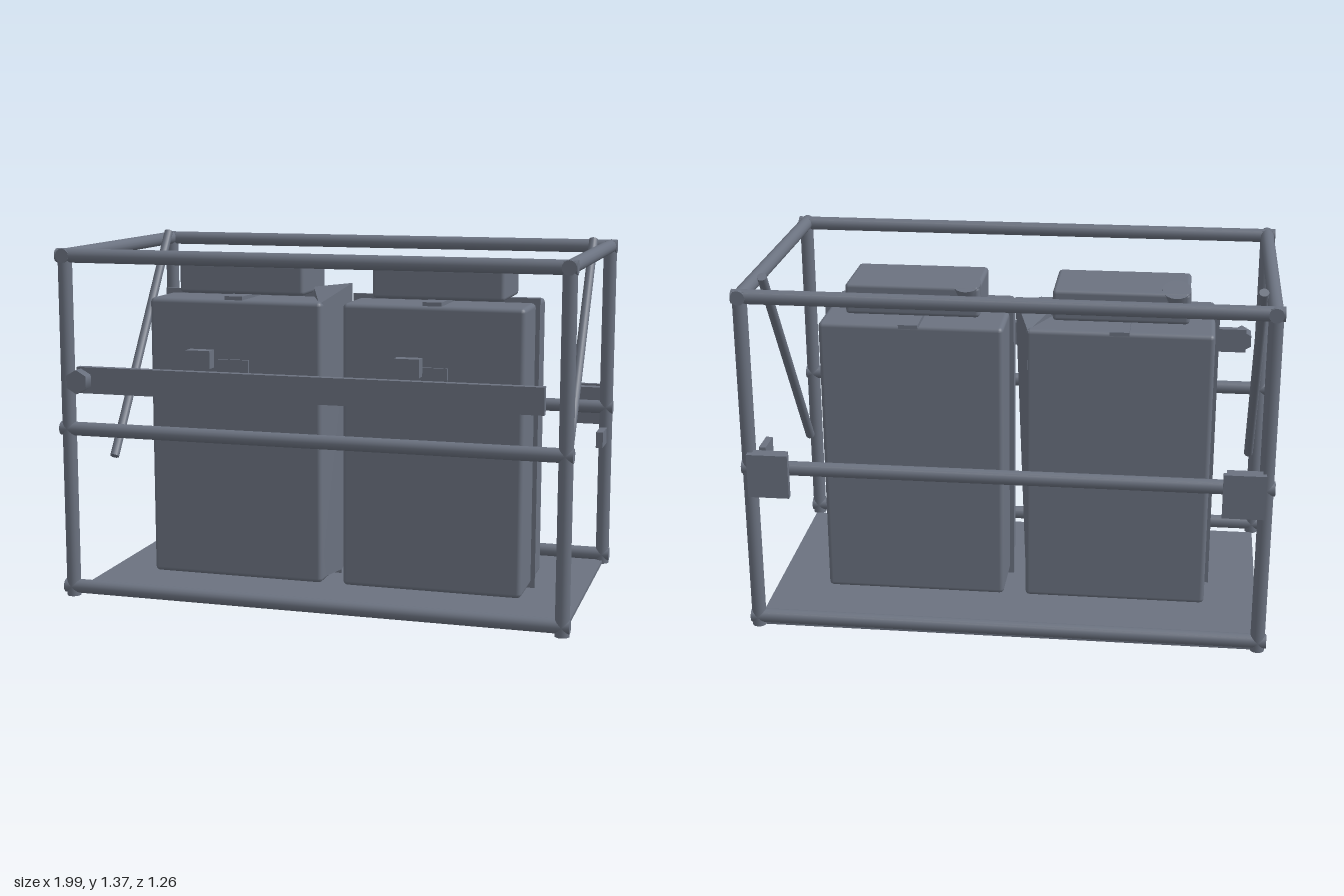
import * as THREE from 'three';
import { RoundedBoxGeometry } from 'three/addons/geometries/RoundedBoxGeometry.js';
import { ConvexGeometry } from 'three/addons/geometries/ConvexGeometry.js';

export function createModel() {
  const model = new THREE.Group();
  const steel = new THREE.MeshStandardMaterial({ color: 0x6b7280 });
  steel.name = 'slate steel';

  const add = (name, geometry, parent = model) => {
    const mesh = new THREE.Mesh(geometry, steel);
    mesh.name = name;
    parent.add(mesh);
    return mesh;
  };
  // box given by its extents, optionally with rounded edges
  const box = (name, [x0, x1], [y0, y1], [z0, z1], round = 0, parent = model) => {
    const size = [x1 - x0, y1 - y0, z1 - z0];
    const geometry = round ? new RoundedBoxGeometry(...size, 2, round) : new THREE.BoxGeometry(...size);
    const mesh = add(name, geometry, parent);
    mesh.position.set((x0 + x1) / 2, (y0 + y1) / 2, (z0 + z1) / 2);
    return mesh;
  };
  // round bar between two points
  const bar = (name, a, b, radius, sides = 16, parent = model) => {
    const from = new THREE.Vector3(...a), to = new THREE.Vector3(...b);
    const mesh = add(name, new THREE.CylinderGeometry(radius, radius, from.distanceTo(to), sides), parent);
    mesh.position.copy(from).add(to).multiplyScalar(0.5);
    mesh.quaternion.setFromUnitVectors(new THREE.Vector3(0, 1, 0), to.sub(from).normalize());
    return mesh;
  };

  // tubular frame
  const frame = new THREE.Group();
  frame.name = 'frame';
  model.add(frame);
  const R = 0.027, xs = [-0.963, 0.957], zs = [0.528, -0.538];
  for (const z of zs) {
    for (const y of [0.042, 0.668, 1.333]) bar('longRail', [-0.995, y, z], [0.985, y, z], R, 16, frame);
    for (const x of xs) bar('upright', [x, 0.005, z], [x, 1.355, z], R, 16, frame);
  }
  for (const x of xs) bar('topSideRail', [x, 1.333, 0.555], [x, 1.333, -0.565], R, 16, frame);

  // floor plate
  box('floorPlate', [-0.965, 0.96], [0.005, 0.019], [-0.54, 0.477]);

  // diagonal side braces
  for (const x of [-0.922, 0.907]) bar('diagonalBrace', [x, 0.5, 0.212], [x, 1.368, -0.4], 0.018);

  // two tanks with seam, strap, cap housing and filler
  [-0.405, 0.39].forEach((x, i) => {
    const tank = new THREE.Group();
    tank.name = i ? 'rightTank' : 'leftTank';
    model.add(tank);
    box('tankBody', [x - 0.355, x + 0.355], [0.032, 1.147], [-0.243, 0.2], 0.018, tank);
    box('seamFlange', [x - 0.372, x + 0.372], [0.02, 1.165], [-0.026, -0.015], 0, tank);
    box('topStrap', [x - 0.037, x + 0.037], [1.147, 1.162], [-0.285, 0.208], 0, tank);
    box('capHousing', [x - 0.257, x + 0.26], [1.162, 1.283], [-0.172, 0.125], 0.015, tank);
    const filler = add('fillerCap', new THREE.CylinderGeometry(0.055, 0.055, 0.07, 20), tank);
    filler.position.set(x - 0.205, 1.258, -0.125);
    filler.rotation.x = -0.4;
    box('frontPlate', [x - 0.065, x + 0.065], [0.838, 0.915], [0.215, 0.226], 0, tank);
    box('barBlock', [x - 0.047, x + 0.047], [0.932, 0.999], [0.548, 0.595], 0, tank);
  });

  // pulled-out seam on the inner side of one tank
  add('pulledSeam', new ConvexGeometry([
    [0.012, 1.205, -0.02], [-0.15, 1.185, -0.03], [-0.06, 1.14, -0.243], [-0.06, 1.14, 0.192],
    [-0.032, 0.035, -0.02], [-0.055, 0.05, -0.23], [-0.055, 0.05, 0.185],
  ].map((p) => new THREE.Vector3(...p))).toNonIndexed());

  // front bar with hexagonal knob
  box('frontBar', [-0.9, 0.885], [0.817, 0.917], [0.552, 0.584]);
  bar('hexKnob', [-0.882, 0.866, 0.552], [-0.882, 0.866, 0.63], 0.048, 6).geometry =
    new THREE.CylinderGeometry(0.046, 0.046, 0.078, 6).toNonIndexed();

  // rear mounting pads
  for (const x of [-0.882, 0.867]) {
    box('padBase', [x - 0.065, x + 0.065], [0.61, 0.745], [-0.604, -0.56]);
    box('padPlate', [x - 0.077, x + 0.077], [0.583, 0.752], [-0.628, -0.604]);
  }

  // side block
  box('sideBlock', [0.97, 0.997], [0.57, 0.632], [-0.262, -0.15]);

  return model;
}
